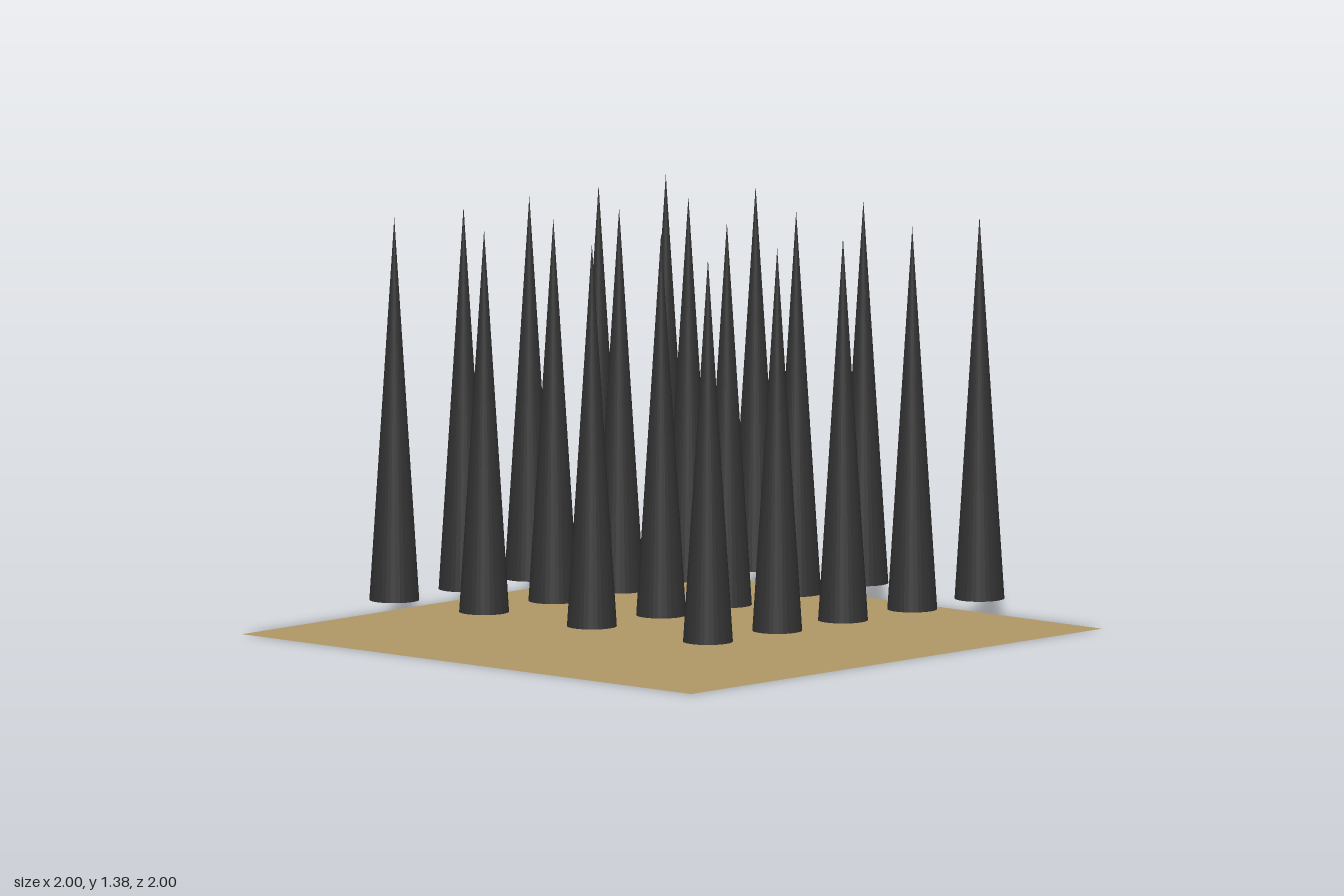
import * as THREE from 'three';

export function createModel() {
  const group = new THREE.Group();
  const sand = new THREE.MeshStandardMaterial({ color: 0xb09766, side: THREE.DoubleSide });
  const dark = new THREE.MeshStandardMaterial({ color: 0x333333, flatShading: true });

  // Thin square ground sheet
  const base = new THREE.Mesh(new THREE.PlaneGeometry(2, 2).rotateX(-Math.PI / 2), sand);
  base.name = 'basePlate';
  group.add(base);

  // Grid of tall spikes hovering just above the sheet
  const bottom = 0.115, top = 1.385, radius = 0.082;
  const spikeGeometry = new THREE.ConeGeometry(radius, top - bottom, 32);
  spikeGeometry.translate(0, (top + bottom) / 2, 0);
  const columns = [-0.663, -0.326, -0.006, 0.331, 0.658];
  const rows = [-0.63, -0.23, 0.25, 0.767];
  const spikes = new THREE.Group();
  spikes.name = 'spikes';
  rows.forEach((z, r) => columns.forEach((x, c) => {
    const spike = new THREE.Mesh(spikeGeometry, dark);
    spike.name = `spikeRow${r + 1}Column${c + 1}`;
    spike.position.set(x, 0, z);
    spikes.add(spike);
  }));
  group.add(spikes);
  return group;
}
